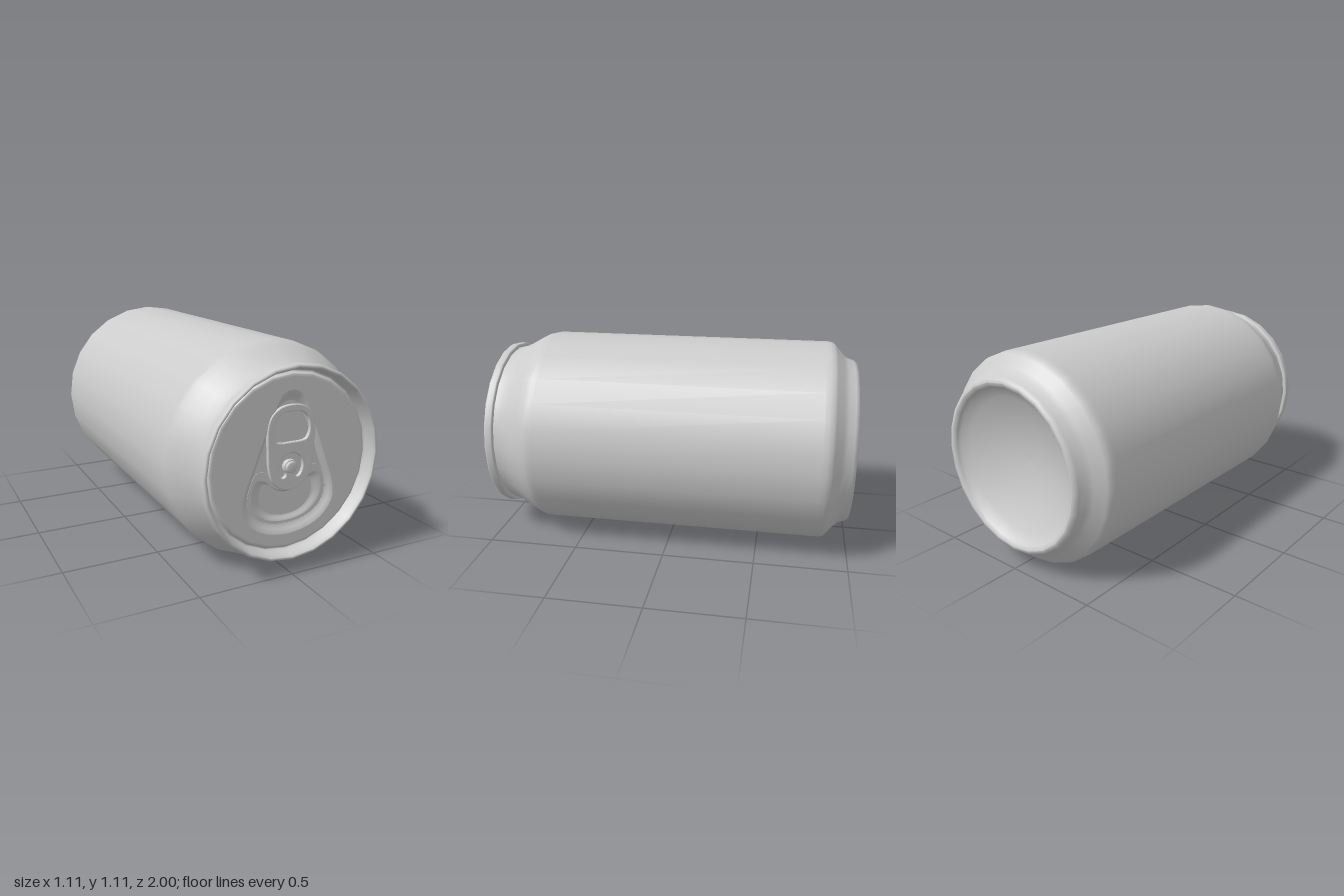
import * as THREE from 'three';

const AXIS_Y = 0.555;   // height of the can's axis
const LID_Z = 0.95;     // lid panel
const FLOOR_Z = 0.928;  // pressed area under the tab
const MOUTH_Z = 0.915;  // bottom of the mouth dent
const grey = new THREE.MeshStandardMaterial({ color: 0xcccccc });

function add(group, name, geometry) {
  const mesh = new THREE.Mesh(geometry, grey);
  mesh.name = name;
  group.add(mesh);
  return mesh;
}

// Turned part along z from [radius, z] pairs
function turned(profile, segments = 24) {
  const pts = profile.map(([r, z]) => new THREE.Vector2(r, z));
  return new THREE.LatheGeometry(pts, segments).rotateX(Math.PI / 2);
}

// Smooth closed outline from its right half (top to bottom), counter-clockwise
function outline(half, count = 56) {
  const left = half.filter(([x]) => x > 0).map(([x, y]) => [-x, y]).reverse();
  const pts = [...half, ...left].reverse().map(([x, y]) => new THREE.Vector3(x, y, 0));
  const curve = new THREE.CatmullRomCurve3(pts, true, 'centripetal');
  return curve.getSpacedPoints(count).slice(0, -1).map((p) => new THREE.Vector2(p.x, p.y));
}

const scaled = (pts, s, cy) => pts.map((p) => new THREE.Vector2(p.x * s, cy + (p.y - cy) * s));

function flat(pts, z, hole) {
  const shape = new THREE.Shape(pts);
  if (hole) shape.holes.push(new THREE.Path(hole));
  return new THREE.ShapeGeometry(shape).translate(0, 0, z);
}

// Sloping wall between an outer and an inner outline
function slope(outer, inner, z0, z1) {
  const pos = [], index = [], n = outer.length, rows = 4;
  for (let r = 0; r <= rows; r++) {
    const t = r / rows, e = t * t * (3 - 2 * t);
    for (let i = 0; i < n; i++) {
      const p = outer[i].clone().lerp(inner[i], t);
      pos.push(p.x, p.y, z0 + (z1 - z0) * e);
      if (r === rows) continue;
      const a = r * n + i, b = r * n + (i + 1) % n;
      index.push(a, b, b + n, a, b + n, a + n);
    }
  }
  const g = new THREE.BufferGeometry();
  g.setAttribute('position', new THREE.Float32BufferAttribute(pos, 3));
  g.setIndex(index);
  g.computeVertexNormals();
  return g;
}

function makeTab() {
  const tab = new THREE.Group();
  tab.name = 'pullTab';
  const cy = 0.535 - AXIS_Y;
  const shape = new THREE.Shape(outline([
    [0, 0.285], [0.06, 0.276], [0.11, 0.24], [0.13, 0.18], [0.128, 0.08],
    [0.12, -0.02], [0.098, -0.085], [0.055, -0.122], [0, -0.135],
  ]));
  // Finger hole
  shape.holes.push(new THREE.Path(outline([
    [0, 0.25], [0.045, 0.248], [0.085, 0.22], [0.1, 0.175], [0.097, 0.135],
    [0.08, 0.11], [0.05, 0.104], [0, 0.104],
  ], 40)));
  // Horseshoe slot around the rivet
  const slot = new THREE.Path(), a0 = -0.7, a1 = Math.PI + 0.7, mid = 0.053, half = 0.016;
  slot.absarc(0, cy, mid + half, a0, a1, false);
  slot.absarc(mid * Math.cos(a1), cy + mid * Math.sin(a1), half, a1, a1 + Math.PI, false);
  slot.absarc(0, cy, mid - half, a1, a0, true);
  slot.absarc(mid * Math.cos(a0), cy + mid * Math.sin(a0), half, a0 + Math.PI, a0 + 2 * Math.PI, false);
  shape.holes.push(slot);
  const plate = new THREE.ExtrudeGeometry(shape, {
    depth: 0.01, bevelThickness: 0.005, bevelSize: 0.005, bevelOffset: -0.005,
    bevelSegments: 2, curveSegments: 10,
  });
  add(tab, 'tabPlate', plate.translate(0, 0, 0.941));

  const rivet = turned([
    [0.032, FLOOR_Z - 0.004], [0.03, 0.958], [0.028, 0.964], [0.022, 0.967], [0, 0.967],
  ], 20);
  add(tab, 'rivet', rivet.translate(0, cy, 0));
  return tab;
}

export function createModel() {
  const can = new THREE.Group();
  can.name = 'drinkCan';
  const body = new THREE.Group();
  body.name = 'can';
  body.position.y = AXIS_Y;
  can.add(body);

  // Hollow dome in the base, out to the standing ring
  const dome = [];
  for (let i = 0; i <= 8; i++) {
    const r = 0.4 * i / 8;
    dome.push([r, -0.86 - 0.11 * (r / 0.4) ** 2]);
  }
  add(body, 'baseDome', turned([...dome, [0.406, -0.988], [0.418, -0.998], [0.43, -1]]));

  // Outer wall from standing ring to neck
  add(body, 'wall', turned([
    [0.43, -1], [0.446, -0.997], [0.456, -0.98], [0.468, -0.945], [0.49, -0.92],
    [0.535, -0.882], [0.549, -0.868], [0.555, -0.845], [0.555, -0.82],
    [0.555, 0.7], [0.555, 0.725], [0.55, 0.75], [0.53, 0.79], [0.49, 0.86],
    [0.472, 0.9], [0.463, 0.93], [0.46, 0.952],
  ]));

  // Rolled rim and the groove inside it
  add(body, 'rim', turned([
    [0.46, 0.952], [0.476, 0.952], [0.481, 0.96], [0.481, 0.988], [0.477, 0.997],
    [0.47, 1], [0.464, 0.998], [0.457, 0.985], [0.451, 0.945], [0.446, 0.932],
    [0.44, 0.93], [0.435, 0.935], [0.431, 0.946], [0.426, LID_Z], [0.415, LID_Z],
  ]));

  // Lid panel with its pressed area and mouth dent
  const disc = Array.from({ length: 24 }, (_, i) => {
    const a = i * Math.PI / 12;
    return new THREE.Vector2(0.415 * Math.cos(a), 0.415 * Math.sin(a));
  });
  const press = outline([
    [0, 0.355], [0.05, 0.335], [0.09, 0.27], [0.2, 0.0], [0.252, -0.15],
    [0.25, -0.23], [0.17, -0.32], [0, -0.362],
  ]);
  const pressFloor = scaled(press, 0.86, -0.03);
  const mouth = outline([
    [0, -0.145], [0.07, -0.125], [0.13, -0.08], [0.17, -0.075],
    [0.192, -0.12], [0.19, -0.2], [0.12, -0.275], [0, -0.3],
  ]);
  const mouthFloor = scaled(mouth, 0.76, -0.19);
  add(body, 'lidPanel', flat(disc, LID_Z, press));
  add(body, 'pressedSlope', slope(press, pressFloor, LID_Z, FLOOR_Z));
  add(body, 'pressedFloor', flat(pressFloor, FLOOR_Z, mouth));
  add(body, 'mouthSlope', slope(mouth, mouthFloor, FLOOR_Z, MOUTH_Z));
  add(body, 'mouthFloor', flat(mouthFloor, MOUTH_Z));

  // Fine score line around the opening
  const side = [[0.11, -0.05], [0.135, -0.036], [0.175, -0.04], [0.205, -0.1],
    [0.218, -0.175], [0.18, -0.26], [0.09, -0.305]];
  const path = [...side, [0, -0.314], ...side.map(([x, y]) => [-x, y]).reverse()]
    .map(([x, y]) => new THREE.Vector3(x, y, FLOOR_Z));
  add(body, 'scoreLine', new THREE.TubeGeometry(new THREE.CatmullRomCurve3(path), 60, 0.0015, 5));

  body.add(makeTab());
  return can;
}
